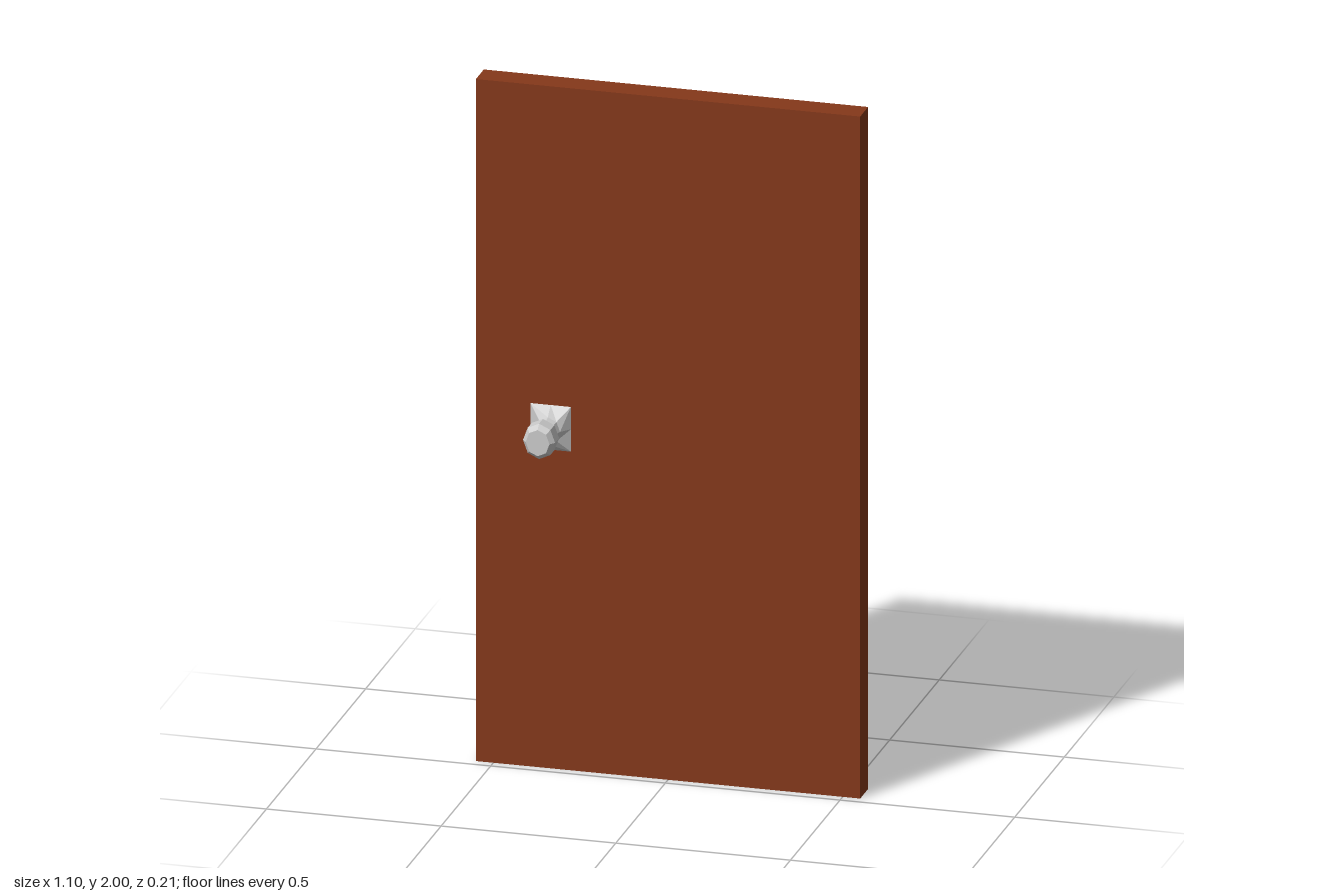
import * as THREE from 'three';

export function createModel() {
  const model = new THREE.Group();
  const wood = new THREE.MeshStandardMaterial({ color: 0x85381a });
  const metal = new THREE.MeshStandardMaterial({ color: 0xcccccc, flatShading: true });

  // Plain slab door
  const door = new THREE.Mesh(new THREE.BoxGeometry(1.1, 2, 0.08), wood);
  door.name = 'doorPanel';
  door.position.set(0, 1, -0.067);
  model.add(door);

  // Knob: eight-sided profile of [radius, depth], from the door outwards
  const profile = [
    [0, -0.027], [0.058, -0.027], [0.035, 0.002], [0.027, 0.03],
    [0.046, 0.05], [0.046, 0.09], [0.034, 0.105], [0, 0.105],
  ].map(([r, d]) => new THREE.Vector2(r, d));
  const geometry = new THREE.LatheGeometry(profile, 8);

  // Push the diagonal points of the base ring out to make a square mounting plate
  const pos = geometry.attributes.position;
  for (let i = 0; i < pos.count; i++) {
    const x = pos.getX(i), z = pos.getZ(i);
    const onBase = pos.getY(i) < -0.02;
    if (onBase && Math.min(Math.abs(x), Math.abs(z)) > 0.01) {
      pos.setX(i, x * Math.SQRT2);
      pos.setZ(i, z * Math.SQRT2);
    }
  }
  geometry.rotateX(Math.PI / 2);
  geometry.scale(1, 1.13, 1); // slightly taller than wide
  geometry.computeVertexNormals();

  const knob = new THREE.Mesh(geometry, metal);
  knob.name = 'doorKnob';
  knob.position.set(-0.336, 1, 0);
  model.add(knob);

  return model;
}
